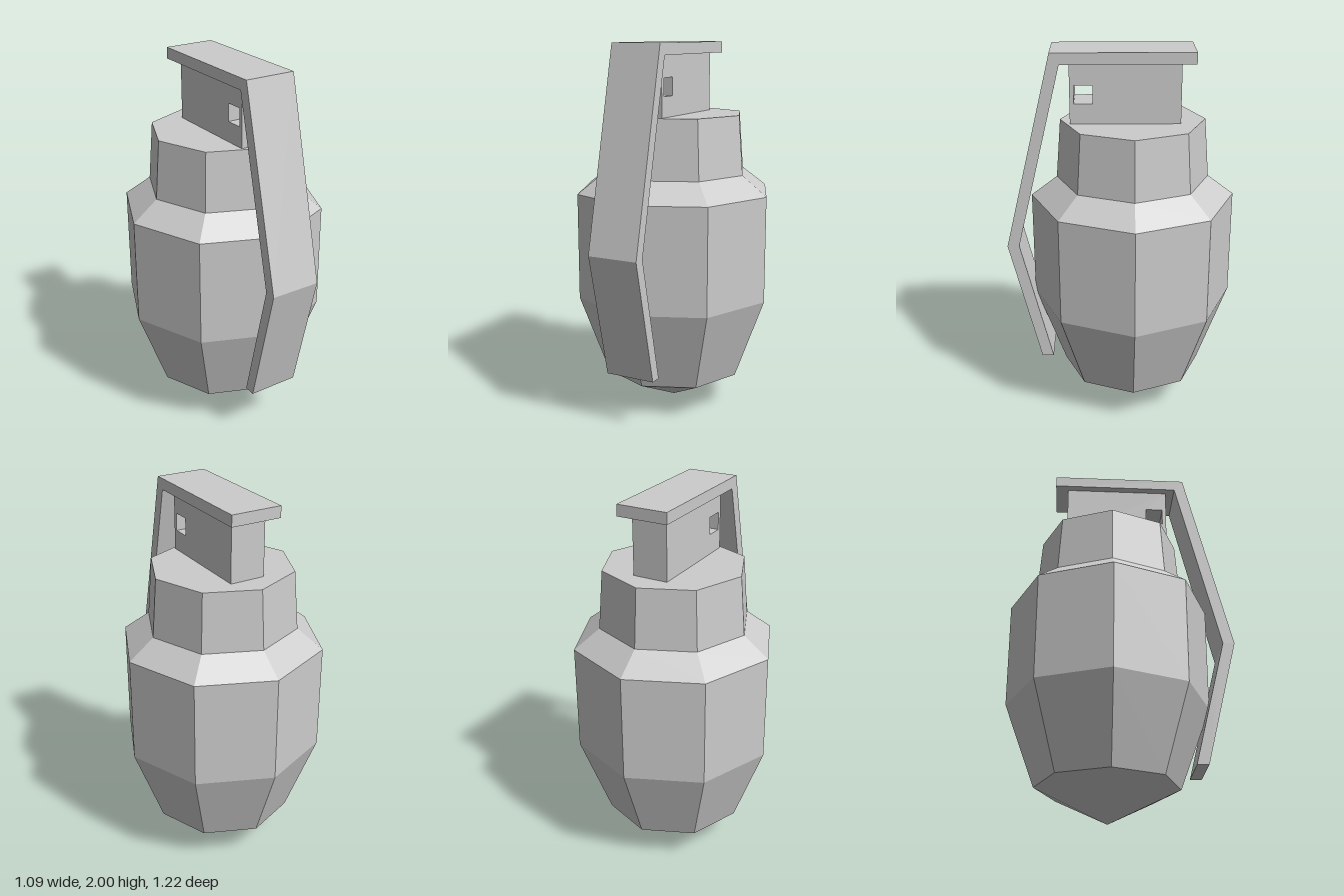
import * as THREE from 'three';

const material = new THREE.MeshStandardMaterial({ color: 0xcccccc, flatShading: true });
const BODY_Z = -0.065;

const toPoints = (pairs) => pairs.map(([a, b]) => new THREE.Vector2(a, b));

// Extrudes a side profile of [z, y] points across x, centred on x = 0
function extrudeSide(shape, width) {
  const geometry = new THREE.ExtrudeGeometry(shape, { depth: width, bevelEnabled: false });
  geometry.translate(0, 0, -width / 2);
  geometry.rotateY(-Math.PI / 2);
  return geometry;
}

function addPart(group, name, geometry) {
  const mesh = new THREE.Mesh(geometry, material);
  mesh.name = name;
  group.add(mesh);
  return mesh;
}

export function createModel() {
  const group = new THREE.Group();
  group.name = 'grenade';

  // Eight-sided body with pointed base, shoulder and collar
  const bodyProfile = toPoints([
    [0, 0], [0.38, 0.185], [0.543, 0.63], [0.543, 1.205],
    [0.405, 1.31], [0.38, 1.625], [0, 1.625],
  ]);
  const bodyGeometry = new THREE.LatheGeometry(bodyProfile, 8).toNonIndexed();
  bodyGeometry.computeVertexNormals();
  addPart(group, 'body', bodyGeometry).position.z = BODY_Z;

  // Fuse block with a square pin hole right through it
  const block = new THREE.Shape(toPoints([[-0.31, 1.62], [0.26, 1.62], [0.26, 1.945], [-0.31, 1.945]]));
  block.holes.push(new THREE.Path(toPoints([[0.143, 1.732], [0.143, 1.826], [0.238, 1.826], [0.238, 1.732]])));
  addPart(group, 'fuseBlock', extrudeSide(block, 0.19));

  // Bent safety lever over the top and down the front
  const lever = new THREE.Shape(toPoints([
    [-0.38, 2], [-0.38, 1.94], [0.307, 1.94], [0.545, 0.96],
    [0.38, 0.28], [0.443, 0.28], [0.608, 0.96], [0.355, 2],
  ]));
  addPart(group, 'safetyLever', extrudeSide(lever, 0.274));

  return group;
}
